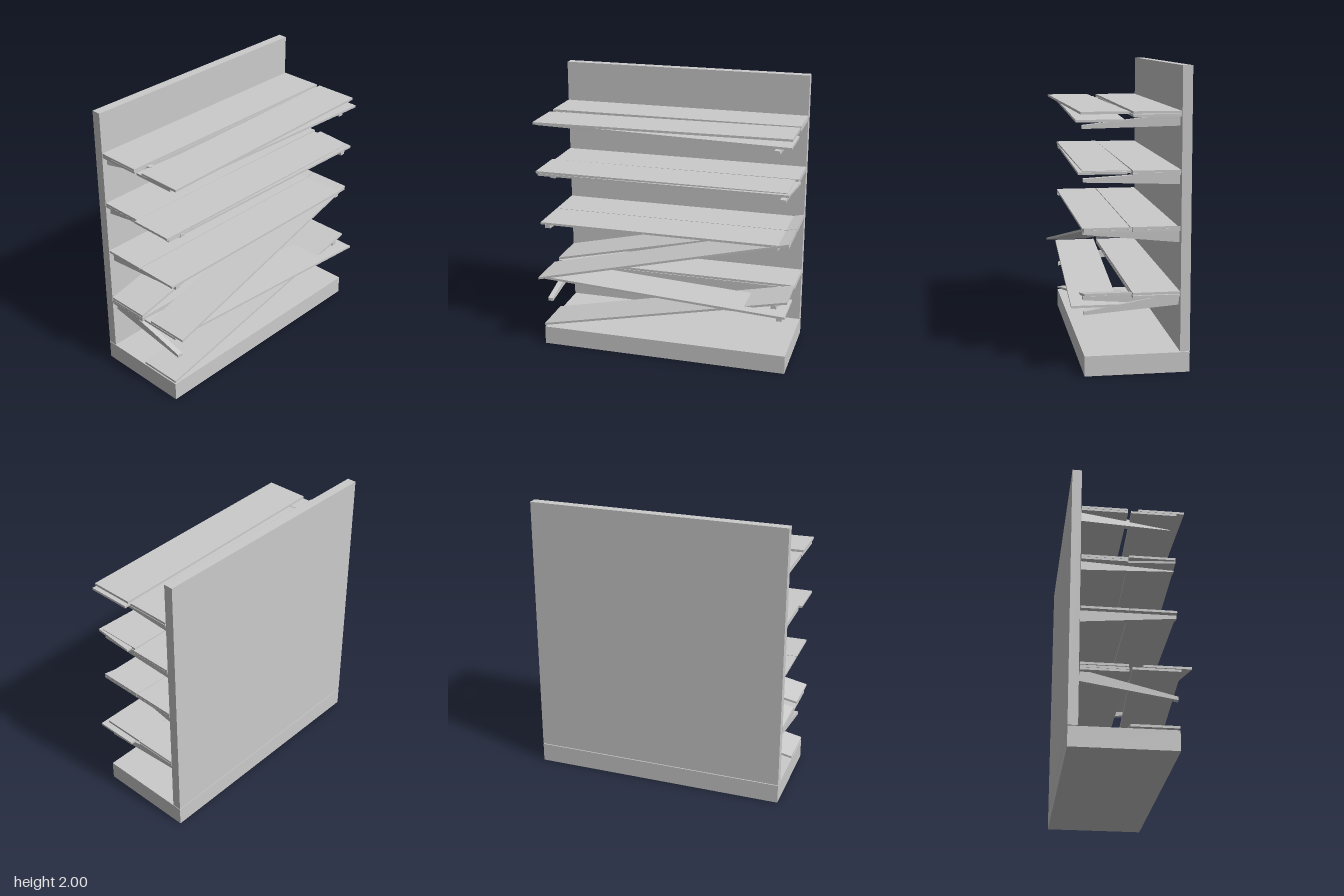
import * as THREE from 'three';

const material = new THREE.MeshStandardMaterial({ color: 0xcccccc, flatShading: true });

export function createModel() {
  const group = new THREE.Group();

  function add(name, geometry) {
    const mesh = new THREE.Mesh(geometry, material);
    mesh.name = name;
    group.add(mesh);
  }

  function box(name, x0, x1, y0, y1, z0, z1) {
    const g = new THREE.BoxGeometry(x1 - x0, y1 - y0, z1 - z0);
    g.translate((x0 + x1) / 2, (y0 + y1) / 2, (z0 + z1) / 2);
    add(name, g);
  }

  // Unit box whose corners (each 0..1) are placed by a rule
  function shaped(name, rule) {
    const g = new THREE.BoxGeometry(1, 1, 1);
    const p = g.attributes.position;
    for (let i = 0; i < p.count; i++) {
      p.setXYZ(i, ...rule(p.getX(i) + 0.5, p.getY(i) + 0.5, p.getZ(i) + 0.5));
    }
    g.computeVertexNormals();
    add(name, g);
  }

  // Plank: top height and front edge at the -x end, then at the +x end
  function plank(name, yA, zA, yB, zB, shift = 0, skew = 0) {
    shaped(name, (u, v, w) => [
      -0.9 + 1.8 * u + shift + skew * (0.5 - w),
      yA + (yB - yA) * u - 0.016 * (1 - v),
      zA + (zB - zA) * u - 0.31 * (1 - w),
    ]);
  }

  // Tapered bracket, its free end swung by dx and dropped by dy
  function bracket(name, side, top, dx = 0, dy = 0) {
    shaped(name, (u, v, w) => [
      side * 0.847 + (u - 0.5) * 0.038 + dx * w,
      top + dy * w - (1 - v) * (0.08 - 0.057 * w),
      -0.32 + 0.625 * w,
    ]);
  }

  // Frame
  box('backPanel', -0.9, 0.9, 0.14, 2, -0.39, -0.325);
  box('base', -0.9, 0.9, 0, 0.135, -0.39, 0.305);

  // Top shelf
  plank('upperFrontPlank', 1.715, 0.37, 1.715, 0.325);
  plank('upperBackPlank', 1.715, -0.01, 1.715, -0.01);
  plank('lowerFrontPlank', 1.698, 0.32, 1.665, 0.355);
  plank('lowerBackPlank', 1.698, -0.01, 1.695, -0.01);
  bracket('bracket', -1, 1.698, 0.14, 0);
  bracket('bracket', 1, 1.698, -0.05, -0.075);

  // Second shelf
  plank('upperFrontPlank', 1.34, 0.3, 1.34, 0.31, -0.022);
  plank('upperBackPlank', 1.34, -0.01, 1.34, -0.01);
  plank('lowerFrontPlank', 1.323, 0.3, 1.335, 0.34, 0.005, 0.03);
  plank('lowerBackPlank', 1.323, -0.01, 1.323, -0.01);
  bracket('bracket', -1, 1.323, 0.055, 0);
  bracket('bracket', 1, 1.323, 0, -0.035);

  // Third shelf, lower layer fallen at one end
  plank('upperFrontPlank', 0.96, 0.305, 0.96, 0.305);
  plank('upperBackPlank', 0.96, -0.01, 0.96, -0.01);
  plank('fallenFrontPlank', 0.565, 0.39, 0.977, 0.305);
  plank('fallenBackPlank', 0.565, -0.01, 0.977, -0.01);
  bracket('bracket', -1, 0.943);
  bracket('bracket', 1, 0.943, -0.045, 0);

  // Bottom shelf, one plank fallen onto the base
  plank('upperFrontPlank', 0.545, 0.32, 0.474, 0.39);
  plank('upperBackPlank', 0.545, -0.01, 0.545, -0.01);
  plank('lowerBackPlank', 0.528, -0.01, 0.525, -0.01);
  plank('fallenFrontPlank', 0.163, 0.305, 0.55, 0.305);
  bracket('bracket', -1, 0.528, 0, -0.155);
  bracket('bracket', 1, 0.528, 0, -0.105);
  bracket('looseBracket', 1, 0.528, -0.04, -0.015);

  return group;
}
